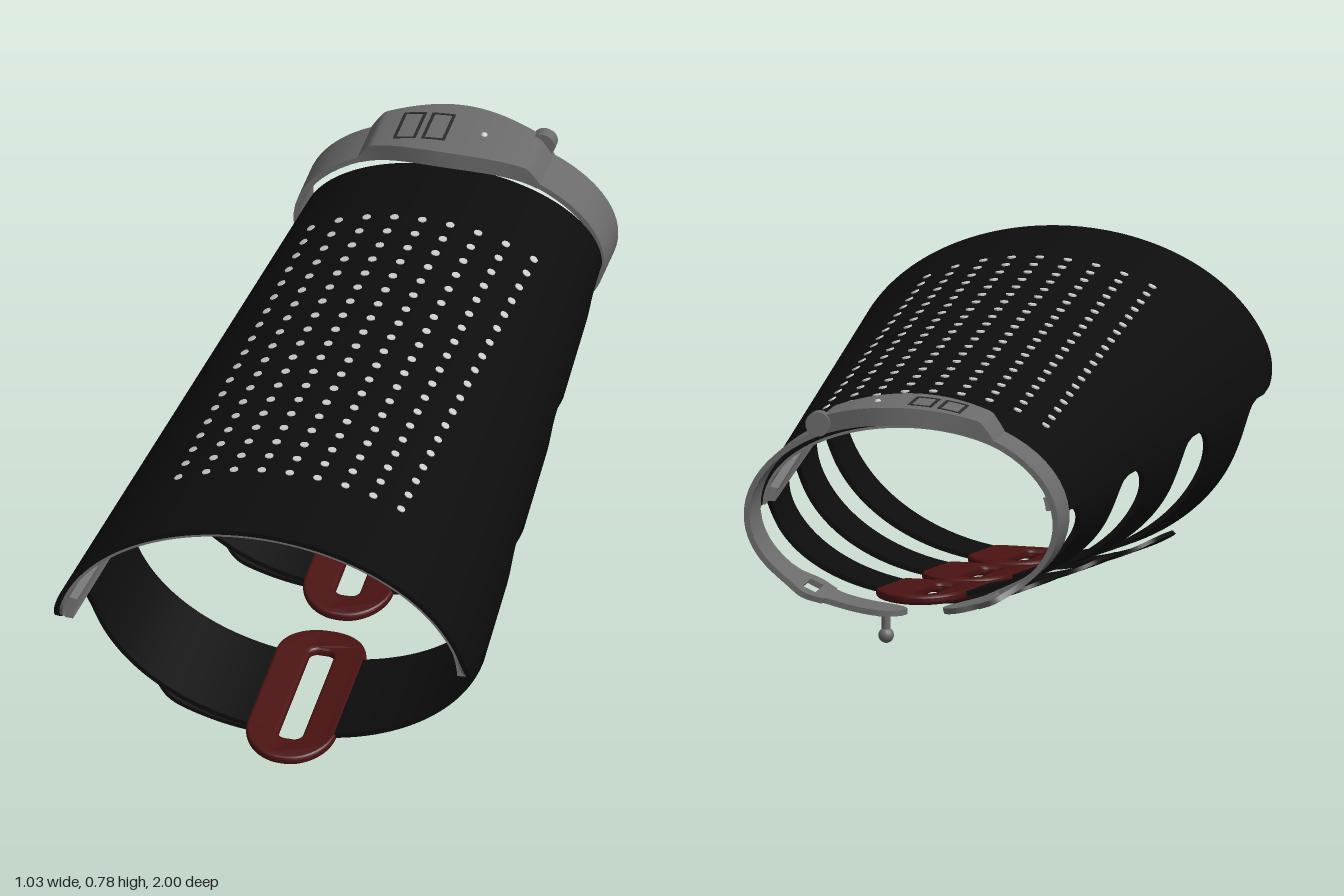
import * as THREE from 'three';
import { mergeGeometries } from 'three/addons/utils/BufferGeometryUtils.js';

const mat = (color) => new THREE.MeshStandardMaterial({ color, side: THREE.DoubleSide });
const BLACK = mat(0x0d0d0d), LINING = mat(0x777777), GREY = mat(0xcccccc);
const BLUE = mat(0x3b4a94), RED = mat(0x4a1212), BAND = mat(0x6c6c6c), DARK = mat(0x2c2c2c);
const rad = THREE.MathUtils.degToRad;
const CY = 0.4;

// Point on the tapered oval sleeve; off moves it inward
function sleeve(deg, z, off = 0) {
  const t = rad(deg), s = Math.sin(t);
  const b = s >= 0 ? 0.29 + 0.085 * z : 0.311 + 0.1 * z;
  return new THREE.Vector3((0.4376 + 0.0824 * z - off) * Math.cos(t), CY + (b - off) * s, z);
}

// Point on the wrist band's oval
function wrist(deg, z, off = 0) {
  const t = rad(deg), s = Math.sin(t);
  return new THREE.Vector3(-0.01 + (0.385 - off) * Math.cos(t), CY + ((s >= 0 ? 0.25 : 0.24) - off) * s, z);
}

// Smooth grid of quads from g(s, t)
function grid(g, nu, nv) {
  const pos = [], idx = [];
  for (let i = 0; i <= nu; i++) for (let j = 0; j <= nv; j++) pos.push(...g(i / nu, j / nv).toArray());
  for (let i = 0; i < nu; i++) for (let j = 0; j < nv; j++) {
    const a = i * (nv + 1) + j, b = a + nv + 1;
    idx.push(a, b, b + 1, a, b + 1, a + 1);
  }
  const geo = new THREE.BufferGeometry();
  geo.setAttribute('position', new THREE.Float32BufferAttribute(pos, 3));
  geo.setIndex(idx);
  geo.computeVertexNormals();
  return geo;
}

// Curved sheet with thickness: angles a0..a1, z from lo(deg) to hi(deg), offsets outer..inner
function sheet(surf, a0, a1, lo, hi, outer, inner, nu = 32, nv = 8) {
  const val = (p, d) => (typeof p === 'function' ? p(d) : p);
  const f = (u, v, k) => {
    const d = a0 + (a1 - a0) * u;
    const z = val(lo, d) + (val(hi, d) - val(lo, d)) * v;
    return surf(d, z, val(inner, d) + (val(outer, d) - val(inner, d)) * k);
  };
  return mergeGeometries([
    grid((u, v) => f(u, v, 1), nu, nv),
    grid((v, u) => f(u, v, 0), nv, nu),
    grid((k, v) => f(0, v, k), 1, nv),
    grid((v, k) => f(1, v, k), nv, 1),
    grid((u, k) => f(u, 0, k), nu, 1),
    grid((k, u) => f(u, 1, k), 1, nu),
  ]);
}

// Amount a rounded corner of radius r pulls an edge in at distance d from it
const corner = (d, r) => (d >= r ? 0 : r - Math.sqrt(Math.max(0, r * r - (r - d) ** 2)));

export function createModel() {
  const model = new THREE.Group();
  const add = (name, geo, material, parent = model) => {
    const m = new THREE.Mesh(geo, material);
    m.name = name;
    parent.add(m);
    return m;
  };

  // Upper shell with rounded front corners, its lining and the pad
  const front = (d) => 1 - corner(0.36 * Math.sin(rad(d)), 0.1);
  add('shell', sheet(sleeve, 0, 180, -0.825, front, 0, 0.012, 96, 24), BLACK);
  add('lining', sheet(sleeve, 0.5, 179.5, -0.82, (d) => front(d) - 0.004, 0.0125, 0.02, 96, 16), LINING);
  add('padTrim', sheet(sleeve, 24, 156, -0.74, 0.85, 0.02, 0.024, 64, 8), BLUE);
  add('pad', sheet(sleeve, 28, 152, -0.7, 0.82, 0.024, 0.032, 64, 8), GREY);
  for (const [name, a] of [['leftRail', 2], ['rightRail', 168]])
    add(name, sheet(sleeve, a, a + 10, -0.8, 0.95, 0.02, 0.04, 8, 8), LINING);

  // Rows of studs passing through the shell and pad
  const studs = [];
  for (let c = 0; c < 9; c++) for (let r = 0; r < 19; r++) {
    const x = -0.28 + c * 0.0688, z = -0.555 + r * 0.0697;
    const a = 0.4376 + 0.0824 * z, b = 0.29 + 0.085 * z;
    const cos = x / a, sin = Math.sqrt(1 - cos * cos);
    const n = new THREE.Vector3(cos / a, sin / b, 0).normalize();
    const q = new THREE.Quaternion().setFromUnitVectors(new THREE.Vector3(0, 1, 0), n);
    const p = new THREE.Vector3(x, CY + b * sin, z);
    const pin = new THREE.CylinderGeometry(0.0105, 0.0105, 0.036, 10);
    const dome = new THREE.SphereGeometry(0.016, 10, 6).scale(1, 0.8, 1);
    for (const [geo, depth] of [[pin, 0.015], [dome, 0.035]])
      studs.push(geo.applyQuaternion(q).translate(...p.clone().addScaledVector(n, -depth).toArray()));
  }
  add('studs', mergeGeometries(studs), GREY);

  // Buckle ring: a stadium with a slot, bent to follow the sleeve
  const rounded = (path, hx, hy, r) => {
    path.moveTo(hx, -hy + r);
    path.lineTo(hx, hy - r);
    path.absarc(hx - r, hy - r, r, 0, Math.PI / 2);
    path.lineTo(-hx + r, hy);
    path.absarc(-hx + r, hy - r, r, Math.PI / 2, Math.PI);
    path.lineTo(-hx, -hy + r);
    path.absarc(-hx + r, -hy + r, r, Math.PI, Math.PI * 1.5);
    path.lineTo(hx - r, -hy);
    path.absarc(hx - r, -hy + r, r, Math.PI * 1.5, Math.PI * 2);
    return path;
  };
  const ring = rounded(new THREE.Shape(), 0.1, 0.23, 0.095);
  ring.holes.push(rounded(new THREE.Path(), 0.04, 0.175, 0.03));
  const buckle = new THREE.ExtrudeGeometry(ring, {
    depth: 0.008, bevelThickness: 0.008, bevelSize: 0.01, bevelSegments: 3, curveSegments: 10 });
  buckle.translate(0, 0, -0.004).rotateX(-Math.PI / 2);
  const bp = buckle.attributes.position;
  for (let i = 0; i < bp.count; i++)
    bp.setY(i, bp.getY(i) + 0.9 * bp.getX(i) ** 2 - 0.1 * bp.getZ(i));
  buckle.computeVertexNormals();

  // Three straps flaring into the shell, each with a folded tail and a buckle
  [0.6, 0.06, -0.48].forEach((zc, i) => {
    const strap = new THREE.Group();
    strap.name = 'strap' + (i + 1);
    model.add(strap);
    const half = (d) => 0.14 + corner(-0.32 * Math.sin(rad(d)), 0.1);
    const lo = (d) => zc - half(d), hi = (d) => zc + half(d);
    add('leftStrap', sheet(sleeve, -80, 0, lo, hi, 0, 0.012, 64, 6), BLACK, strap);
    add('rightStrap', sheet(sleeve, 180, 267, lo, hi, 0, 0.012, 64, 6), BLACK, strap);
    const tip = (d) => 0.135 - corner((d - 228) * 0.008, 0.09);
    const lift = (d) => -0.012 - 0.016 * (267 - d) / 39;
    add('foldedTail', sheet(sleeve, 228, 267, (d) => zc - tip(d), (d) => zc + tip(d),
      lift, (d) => lift(d) + 0.01, 32, 6), BLACK, strap);
    add('buckle', buckle, RED, strap).position.set(0.01, CY - 0.311 - 0.1 * zc + 0.002, zc);
  });

  // Wrist band: two tapering halves, each with a slotted wide part
  const band = new THREE.Group();
  band.name = 'wristBand';
  model.add(band);
  const ZB = -0.893;
  const wide = (d) => 0.066 + 0.034 * Math.exp(-(((d + 52) / 7) ** 2));
  const half = (name, m, end) => {
    // m maps an angle on the left half to this half
    const part = (a0, a1, l, h) => {
      const [s, e] = [m(a0), m(a1)].sort((p, q) => p - q);
      return sheet(wrist, s, e, (d) => ZB + l(m(d)), (d) => ZB + h(m(d)), 0, 0.014, 24, 4);
    };
    const tab = (d) => (wide(d) - 0.012) * Math.sqrt(Math.max(0.02, 1 - Math.max(0, (end + 12 - d) / 12) ** 2));
    add(name, mergeGeometries([
      part(-49, 90, (d) => -wide(d), wide),
      part(-55, -49, (d) => -wide(d), () => -0.05),
      part(-55, -49, () => 0.05, wide),
      part(-60, -55, (d) => -wide(d), wide),
      part(end, -60, (d) => -tab(d), tab),
    ]), BAND, band);
  };
  half('leftBand', (d) => d, -90);
  half('rightBand', (d) => 180 - d, -76);

  // Clasp pin
  add('claspPin', new THREE.CylinderGeometry(0.011, 0.011, 0.06, 12), BAND, band).position.set(0.04, 0.14, ZB);
  add('claspKnob', new THREE.SphereGeometry(0.019, 16, 10), BAND, band).position.set(0.04, 0.108, ZB);
  add('claspCollar', new THREE.CylinderGeometry(0.032, 0.032, 0.016, 20), BAND, band).position.set(0.04, 0.166, ZB);

  // Display housing, widest at the middle, with two plain window frames
  const hw = (d) => 0.068 + 0.034 * (0.5 + 0.5 * Math.cos(Math.PI * Math.min(1, Math.abs(d - 90) / 38)));
  add('housing', sheet(wrist, 54, 126, (d) => ZB - hw(d), (d) => ZB + hw(d),
    (d) => -0.03 * Math.min(1, (36 - Math.abs(d - 90)) / 8), 0.014, 48, 8), BAND, band);
  const bar = (a0, a1, z0, z1) => sheet(wrist, a0, a1, z0, z1, -0.032, -0.028, 6, 1);
  for (const a of [92, 102]) {
    add('windowFrame', mergeGeometries([
      bar(a, a + 1, -0.95, -0.84), bar(a + 7, a + 8, -0.95, -0.84),
      bar(a, a + 8, -0.95, -0.945), bar(a, a + 8, -0.845, -0.84),
    ]), DARK, band);
  }
  add('indicator', new THREE.SphereGeometry(0.009, 12, 8), GREY, band).position.set(0.06, 0.673, ZB);
  const button = add('sideButton', new THREE.CylinderGeometry(0.03, 0.03, 0.03, 20), BAND, band);
  button.rotation.x = Math.PI / 2;
  button.position.set(0.19, 0.63, -0.965);

  return model;
}
